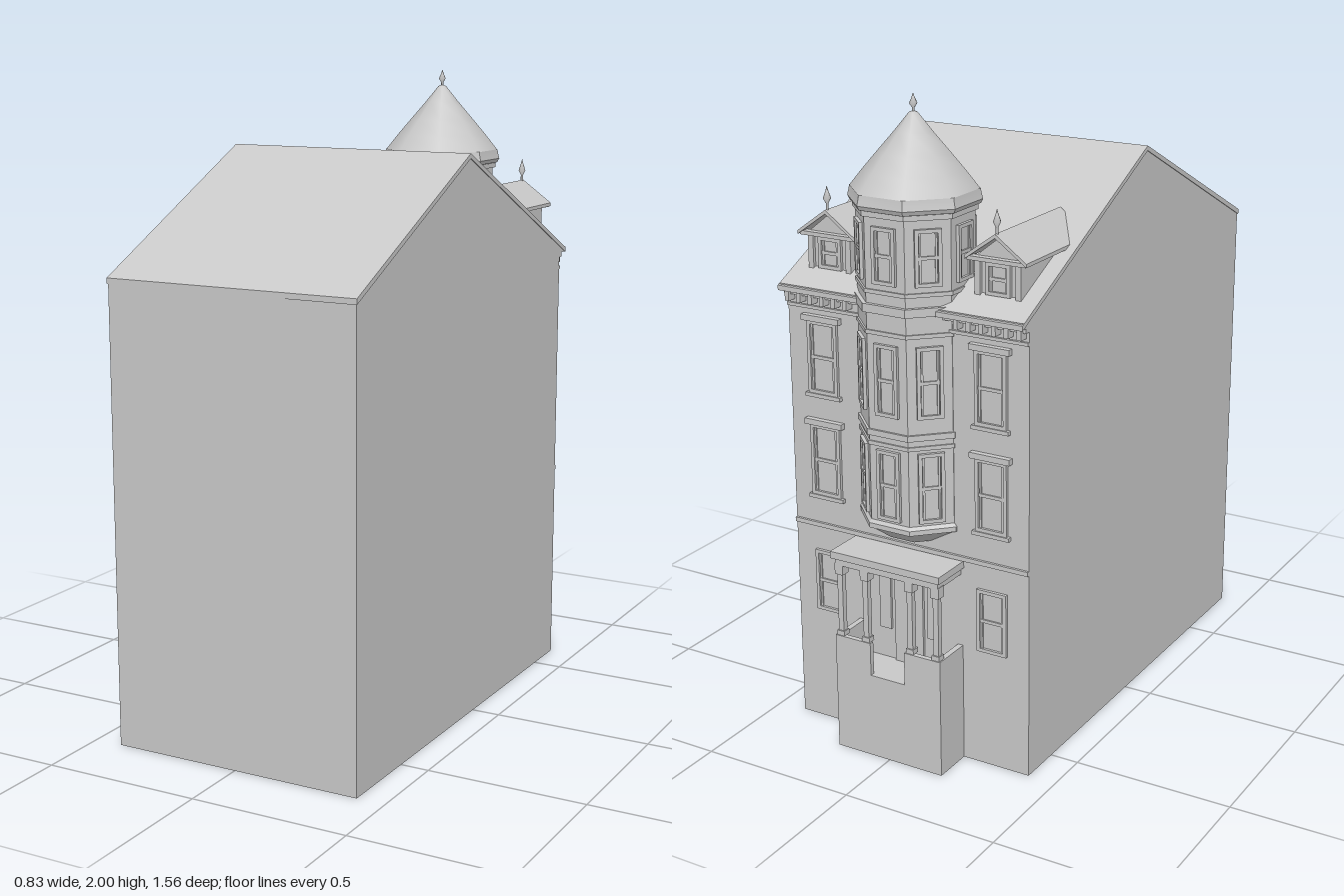
import * as THREE from 'three';
import { toCreasedNormals } from 'three/addons/utils/BufferGeometryUtils.js';

const stone = new THREE.MeshStandardMaterial({ color: 0xc8c8c8, side: THREE.DoubleSide });
stone.name = 'plain grey';

const FACADE = -0.64, TURRET_Z = -0.575, OCT = Math.cos(Math.PI / 8);

function add(parent, name, geo, x = 0, y = 0, z = 0) {
  const m = new THREE.Mesh(geo, stone);
  m.name = name;
  m.position.set(x, y, z);
  parent.add(m);
  return m;
}

// box given by its min / max limits
function block(parent, name, x0, x1, y0, y1, z0, z1) {
  return add(parent, name, new THREE.BoxGeometry(x1 - x0, y1 - y0, z1 - z0),
    (x0 + x1) / 2, (y0 + y1) / 2, (z0 + z1) / 2);
}

function group(parent, name, x = 0, y = 0, z = 0, ry = 0) {
  const g = new THREE.Group();
  g.name = name;
  g.position.set(x, y, z);
  g.rotation.y = ry;
  parent.add(g);
  return g;
}

const shape = pts => new THREE.Shape(pts.map(p => new THREE.Vector2(...p)));
const prism = (pts, depth) => new THREE.ExtrudeGeometry(shape(pts), { depth, bevelEnabled: false });

// eight-sided turned form, profile as [apothem, y]
function octagon(parent, name, pts, smooth = false) {
  const profile = pts.map(([r, y]) => new THREE.Vector2(r / OCT, y));
  const geo = new THREE.LatheGeometry(profile, 8, Math.PI / 8);
  return add(parent, name, smooth ? geo : toCreasedNormals(geo, 0.3), 0, 0, TURRET_Z);
}

function finial(parent, x, y, z, h) {
  const pts = [[0.004, 0], [0.004, 0.3], [0.012, 0.5], [0.004, 0.8], [0, 1]];
  add(parent, 'finial', new THREE.LatheGeometry(pts.map(([r, t]) => new THREE.Vector2(r, t * h)), 8), x, y, z);
}

// sash window facing local +z, origin at the middle of its foot
function sashWindow(parent, w, h, x, y, z, ry, hood = true) {
  const g = group(parent, 'window', x, y, z, ry), b = 0.011, a = w / 2;
  block(g, 'glass', -a, a, 0, h, -0.002, 0.002);
  for (const s of [-1, 1]) {
    block(g, 'jamb', s * (a - b / 2) - b / 2, s * (a - b / 2) + b / 2, 0, h, 0, 0.01);
    block(g, 'stile', s * (a - 0.016) - 0.003, s * (a - 0.016) + 0.003, b, h - b, 0, 0.006);
  }
  block(g, 'head', -a, a, h - b, h, 0, 0.01);
  block(g, 'foot', -a, a, 0, b, 0, 0.01);
  block(g, 'meetingRail', -a + b, a - b, h / 2 - 0.005, h / 2 + 0.005, 0, 0.007);
  if (hood) {
    block(g, 'hood', -a - 0.014, a + 0.014, h, h + 0.018, 0, 0.018);
    block(g, 'sill', -a - 0.009, a + 0.009, -0.012, 0, 0, 0.014);
  }
}

function buildShell(root) {
  const g = group(root, 'house');
  // gabled walls, open underneath
  const gable = [[FACADE, 0], [0.775, 0], [0.775, 1.425], [0.07, 1.765], [FACADE, 1.425]];
  for (const s of [-1, 1]) {
    const geo = new THREE.ShapeGeometry(shape(gable));
    geo.rotateY(-Math.PI / 2);
    if (s > 0) geo.rotateY(Math.PI).scale(1, 1, -1), geo.scale(-1, 1, 1).rotateY(0);
    add(g, 'gableWall', s > 0 ? new THREE.ShapeGeometry(shape(gable)).rotateY(-Math.PI / 2) : geo, s * 0.41, 0, 0);
  }
  add(g, 'rearWall', new THREE.PlaneGeometry(0.82, 1.425), 0, 0.7125, 0.775);
  add(g, 'facade', new THREE.PlaneGeometry(0.82, 1.425).rotateY(Math.PI), 0, 0.7125, FACADE);
  // pitched roof slab
  const roof = prism([[0.778, 1.42], [0.778, 1.437], [0.07, 1.778], [-0.685, 1.414], [-0.685, 1.399], [0.07, 1.763]], 0.826);
  add(g, 'roof', roof.rotateY(-Math.PI / 2), 0.413, 0, 0);
  // string course, cornice and brackets on each side of the turret
  for (const s of [-1, 1]) {
    const span = (name, y0, y1, d) =>
      block(g, name, s > 0 ? 0.14 : -0.41, s > 0 ? 0.41 : -0.14, y0, y1, FACADE - d, FACADE);
    span('cornice', 1.4, 1.42, 0.04);
    span('cornice', 1.385, 1.4, 0.02);
    span('frieze', 1.345, 1.355, 0.008);
    for (let i = 0; i < 6; i++) {
      const x = s * (0.188 + i * 0.041);
      block(g, 'bracket', x - 0.007, x + 0.007, 1.365, 1.4, FACADE - 0.03, FACADE);
    }
    sashWindow(g, 0.1, 0.2, s * 0.288, 0.375, FACADE, Math.PI, false);
    sashWindow(g, 0.105, 0.225, s * 0.288, 0.76, FACADE, Math.PI);
    sashWindow(g, 0.105, 0.225, s * 0.288, 1.085, FACADE, Math.PI);
  }
  block(g, 'stringCourse', -0.41, 0.41, 0.652, 0.666, FACADE - 0.008, FACADE);
}

function buildTurret(root) {
  const g = group(root, 'turret');
  octagon(g, 'turretWall', [[0, 0.68], [0.07, 0.68], [0.1, 0.69], [0.155, 0.735], [0.168, 0.74],
    [0.168, 0.755], [0.16, 0.765], [0.16, 1.7]]);
  for (const [y, h, r] of [[1.0, 0.012, 0.165], [1.03, 0.018, 0.167], [1.335, 0.012, 0.165],
    [1.4, 0.025, 0.172], [1.455, 0.012, 0.165], [1.675, 0.015, 0.168]]) {
    octagon(g, 'band', [[0.155, y], [r, y], [r, y + h], [0.155, y + h]]);
  }
  // windows: three outer faces below, every face under the roof
  for (let i = 0; i < 8; i++) {
    const a = i * Math.PI / 4, x = Math.sin(a) * 0.16, z = TURRET_Z + Math.cos(a) * 0.16;
    sashWindow(g, 0.078, 0.165, x, 1.485, z, a, false);
    if (i < 3 || i > 5) continue;
    sashWindow(g, 0.078, 0.215, x, 0.775, z, a, false);
    sashWindow(g, 0.078, 0.215, x, 1.095, z, a, false);
  }
  octagon(g, 'roofRim', [[0.15, 1.688], [0.174, 1.692], [0.18, 1.705], [0.176, 1.722], [0.174, 1.735]]);
  octagon(g, 'turretRoof', [[0.174, 1.733], [0.136, 1.785], [0.096, 1.836], [0.05, 1.894], [0.012, 1.945], [0, 1.95]], true);
  finial(g, 0, 1.94, TURRET_Z, 0.06);
}

function buildDormer(root, x) {
  const g = group(root, 'dormer', x);
  add(g, 'dormerBody', prism([[-0.075, 1.42], [0.075, 1.42], [0.075, 1.565], [0, 1.625], [-0.075, 1.565]], 0.33), 0, 0, -0.59);
  add(g, 'dormerRoof', prism([[-0.1, 1.557], [0, 1.628], [0.1, 1.557], [0.1, 1.568], [0, 1.64], [-0.1, 1.568]], 0.375), 0, 0, -0.615);
  // pediment and corner posts
  block(g, 'pedimentSill', -0.095, 0.095, 1.555, 1.567, -0.61, -0.585);
  for (const s of [-1, 1]) block(g, 'cornerPost', s * 0.066 - 0.009, s * 0.066 + 0.009, 1.45, 1.557, -0.6, -0.585);
  sashWindow(g, 0.08, 0.095, 0, 1.458, -0.59, Math.PI, false);
  finial(g, 0, 1.635, -0.602, 0.075);
}

function buildPorch(root) {
  const g = group(root, 'porch'), F = -0.77;
  // side walls, floor and parapet with a gap in the middle
  for (const s of [-1, 1]) {
    block(g, 'sideWall', s * 0.176 - 0.009, s * 0.176 + 0.009, 0, 0.375, F, FACADE);
    block(g, 'parapet', s * 0.12 - 0.06, s * 0.12 + 0.06, 0.27, 0.375, F, F + 0.016);
    // columns with bases and caps
    for (const x of [0.168, 0.078]) {
      block(g, 'column', s * x - 0.009, s * x + 0.009, 0.375, 0.61, -0.763, -0.745);
      block(g, 'columnBase', s * x - 0.013, s * x + 0.013, 0.375, 0.39, -0.767, -0.741);
      block(g, 'columnCap', s * x - 0.014, s * x + 0.014, 0.575, 0.61, -0.768, -0.738);
    }
    block(g, 'sidelight', s * 0.085 - 0.02, s * 0.085 + 0.02, 0.37, 0.57, FACADE - 0.008, FACADE);
  }
  block(g, 'frontWall', -0.185, 0.185, 0, 0.27, F, F + 0.016);
  block(g, 'floor', -0.185, 0.185, 0.255, 0.27, F + 0.005, FACADE);
  block(g, 'door', -0.05, 0.05, 0.27, 0.57, FACADE - 0.009, FACADE);
  block(g, 'beam', -0.18, 0.18, 0.605, 0.63, -0.768, FACADE);
  block(g, 'porchRoof', -0.19, 0.19, 0.628, 0.65, -0.778, FACADE);
}

export function createModel() {
  const root = new THREE.Group();
  root.name = 'townhouse';
  buildShell(root);
  buildTurret(root);
  buildDormer(root, -0.285);
  buildDormer(root, 0.285);
  buildPorch(root);
  return root;
}
